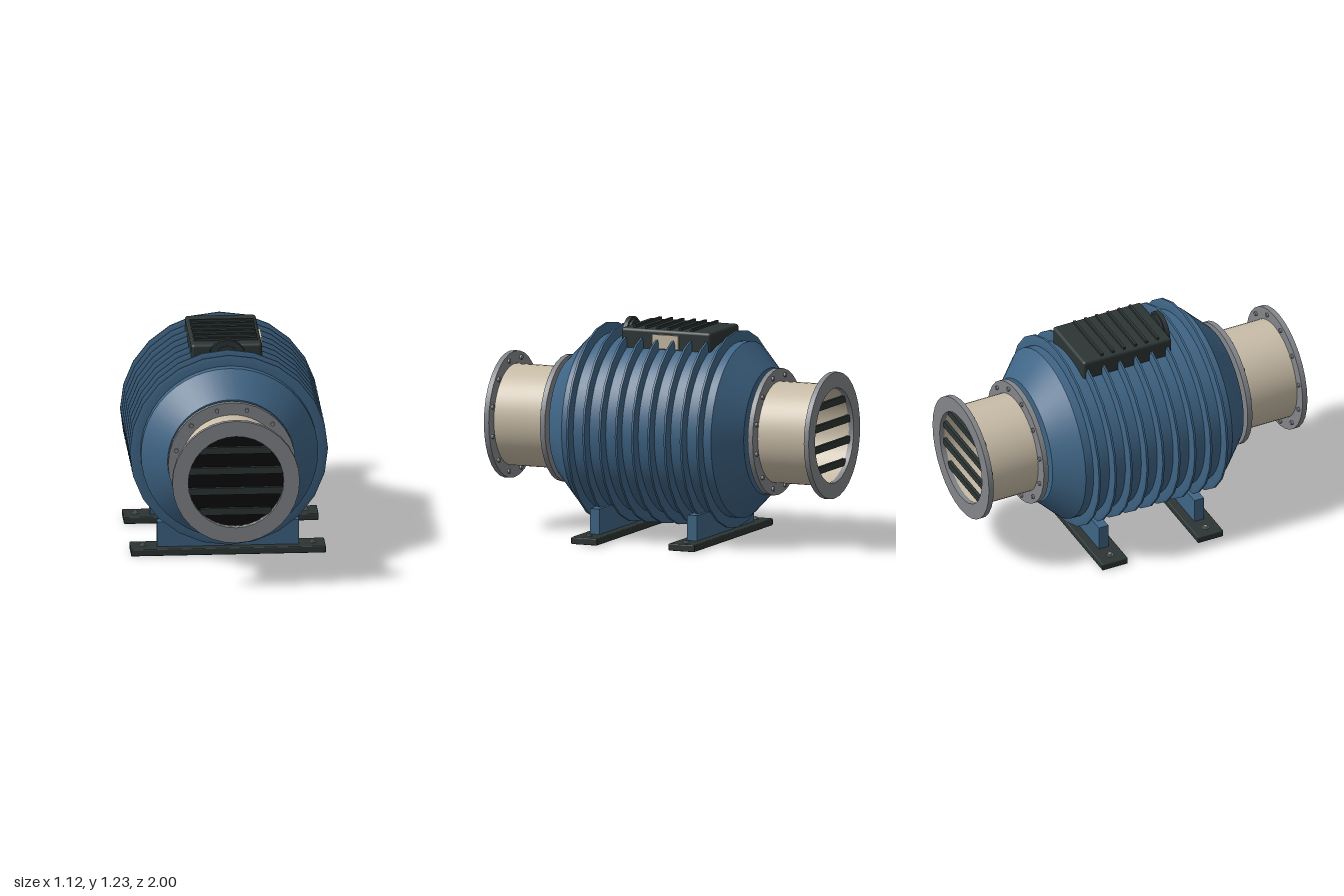
import * as THREE from 'three';
import { toCreasedNormals } from 'three/addons/utils/BufferGeometryUtils.js';
import { RoundedBoxGeometry } from 'three/addons/geometries/RoundedBoxGeometry.js';

const AXIS_Y = 0.627; // height of the machine's long axis

function makeMaterial(name, color) {
  const m = new THREE.MeshStandardMaterial({ color });
  m.name = name;
  return m;
}

// Lathe around the z axis; profile is a list of [radius, z]
function turned(profile, sides, crease = 0.5) {
  const pts = profile.map(([r, z]) => new THREE.Vector2(r, z));
  const g = new THREE.LatheGeometry(pts, sides).rotateX(Math.PI / 2);
  return toCreasedNormals(g, crease);
}

// Closed square-section ring from z0 to z1
function ring(inner, outer, z0, z1, sides) {
  return turned([[inner, z0], [outer, z0], [outer, z1], [inner, z1], [inner, z0]], sides);
}

export function createModel() {
  const blue = makeMaterial('blue paint', 0x3f6586);
  const dark = makeMaterial('dark green grey', 0x2c3534);
  const beige = makeMaterial('beige', 0xc9bda8);
  const steel = makeMaterial('steel grey', 0x83868a);
  const black = makeMaterial('black', 0x0c0c0c);

  const model = new THREE.Group();
  model.name = 'ductBlower';
  function add(parent, name, geometry, material, x = 0, y = 0, z = 0) {
    const mesh = new THREE.Mesh(geometry, material);
    mesh.name = name;
    mesh.position.set(x, y, z);
    parent.add(mesh);
    return mesh;
  }

  // Main housing with conical ends
  add(model, 'housing', turned(
    [[0, -0.6], [0.36, -0.6], [0.5, -0.46], [0.5, 0.46], [0.36, 0.6], [0, 0.6]], 48), blue, 0, AXIS_Y);

  // Cooling fins
  const finGeo = turned([[0.48, -0.012], [0.54, -0.012], [0.56, -0.006],
    [0.56, 0.006], [0.54, 0.012], [0.48, 0.012]], 24, 0.3);
  for (let i = -4; i <= 4; i++) add(model, 'coolingFin', finGeo, blue, 0, AXIS_Y, i * 0.1);

  // Duct at each end: hollow pipe, two bolted flanges and a slatted grille
  const pipeGeo = ring(0.272, 0.288, 0.625, 0.995, 48);
  const flangeGeo = ring(0.27, 0.36, -0.015, 0.015, 32);
  const boltGeo = new THREE.CylinderGeometry(0.013, 0.013, 0.014, 6).rotateX(Math.PI / 2);
  for (const side of [1, -1]) {
    const duct = new THREE.Group();
    duct.name = side > 0 ? 'frontDuct' : 'backDuct';
    duct.position.y = AXIS_Y;
    if (side < 0) duct.rotation.y = Math.PI;
    model.add(duct);
    add(duct, 'pipe', pipeGeo, beige);
    for (const [z, inward] of [[0.985, -1], [0.64, 1]]) {
      add(duct, 'flange', flangeGeo, steel, 0, 0, z);
      for (let i = 0; i < 12; i++) {
        const a = (i + 0.5) * Math.PI / 6;
        add(duct, 'flangeBolt', boltGeo, steel,
          0.325 * Math.cos(a), 0.325 * Math.sin(a), z + inward * 0.02);
      }
    }
    for (const y of [-0.18, -0.06, 0.06, 0.18]) {
      const length = 2 * Math.sqrt(0.27 * 0.27 - y * y);
      add(duct, 'grilleSlat', new THREE.BoxGeometry(length, 0.04, 0.02), dark, 0, y, 0.97);
    }
    // Only the front duct is blanked off
    if (side > 0) add(duct, 'blankingDisc', new THREE.CircleGeometry(0.272, 48), black, 0, 0, 0.955);
  }

  // Feet: pedestal, base rail and anchor bolts
  const pedestalGeo = new THREE.BoxGeometry(0.8, 0.155, 0.06);
  const railGeo = new RoundedBoxGeometry(1.1, 0.04, 0.16, 2, 0.006);
  const washerGeo = new THREE.CylinderGeometry(0.02, 0.02, 0.006, 16);
  const anchorGeo = new THREE.CylinderGeometry(0.014, 0.014, 0.016, 6);
  for (const z of [0.3, -0.3]) {
    add(model, 'pedestal', pedestalGeo, blue, 0, 0.1075, z);
    add(model, 'baseRail', railGeo, dark, 0, 0.02, z);
    for (const x of [-0.48, 0.48]) {
      add(model, 'anchorWasher', washerGeo, steel, x, 0.042, z);
      add(model, 'anchorBolt', anchorGeo, steel, x, 0.046, z);
    }
  }

  // Control box with ribbed lid and side plate
  add(model, 'controlBox', new RoundedBoxGeometry(0.4, 0.155, 0.555, 3, 0.018), dark, 0, 1.1185, -0.05);
  const ribGeo = new THREE.BoxGeometry(0.36, 0.02, 0.015);
  for (let i = 0; i < 6; i++) add(model, 'lidRib', ribGeo, dark, 0, 1.2, -0.2 + i * 0.07);
  add(model, 'sidePlate', new THREE.BoxGeometry(0.02, 0.08, 0.16), beige, 0.203, 1.13, -0.05);

  // Round vent on the front of the box
  const vent = new THREE.Group();
  vent.name = 'roundVent';
  vent.position.set(0, 1.125, 0.25);
  model.add(vent);
  add(vent, 'ventDisc', turned([[0, -0.028], [0.09, -0.028], [0.09, 0.008], [0, 0.008]], 32), dark);
  add(vent, 'ventRim', ring(0.088, 0.105, -0.013, 0.013, 32), dark);
  for (const r of [0.035, 0.06]) {
    add(vent, 'ventRing', ring(r, r + 0.01, 0.006, 0.012, 32), dark);
  }

  return model;
}
